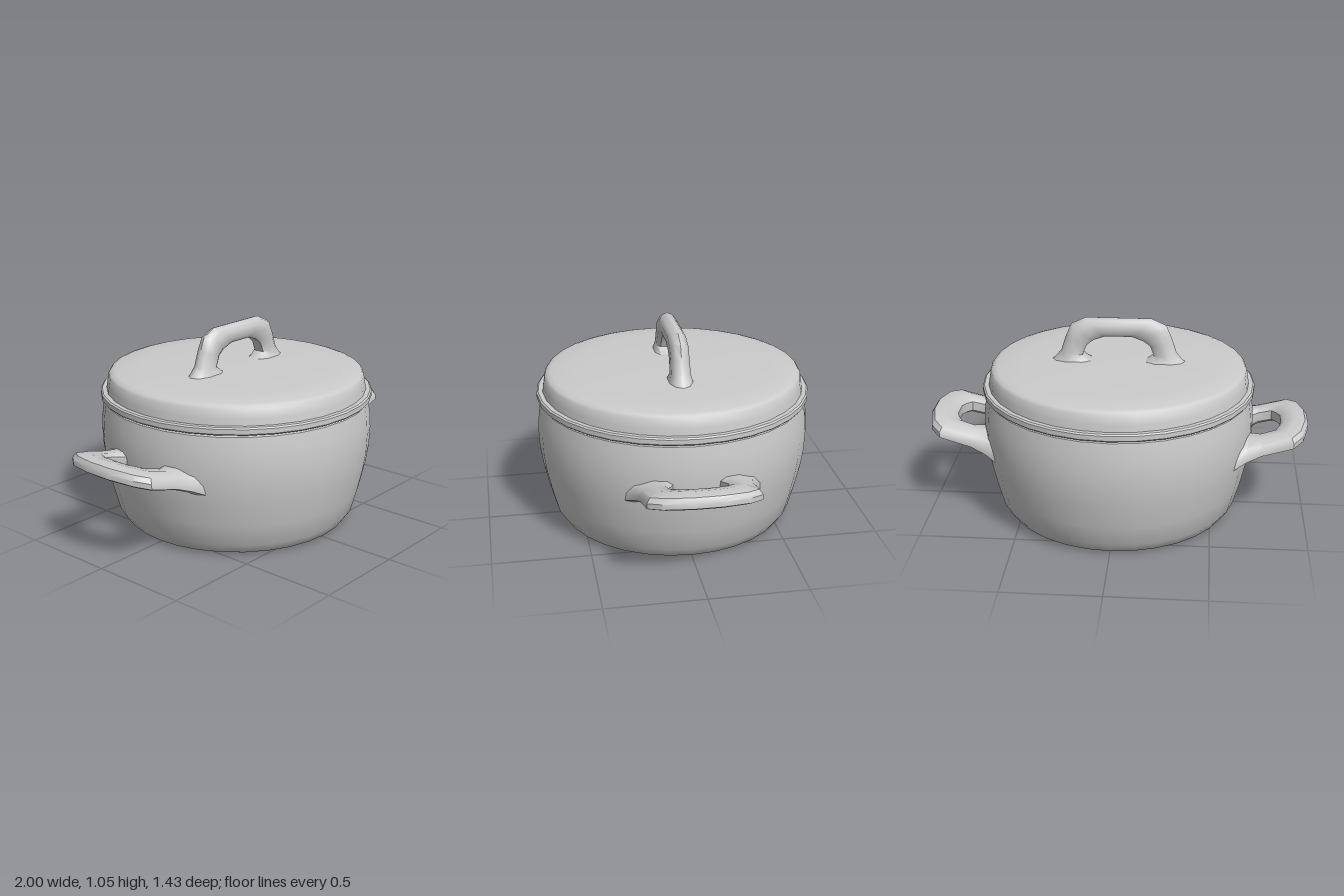
import * as THREE from 'three';
import { toCreasedNormals } from 'three/addons/utils/BufferGeometryUtils.js';

const material = new THREE.MeshStandardMaterial({ color: 0xcccccc });

function makeMesh(name, geometry, crease) {
  const mesh = new THREE.Mesh(toCreasedNormals(geometry, crease), material);
  mesh.name = name;
  return mesh;
}

function turned(name, points) {
  const profile = points.map(([r, y]) => new THREE.Vector2(r, y));
  return makeMesh(name, new THREE.LatheGeometry(profile, 32), 0.7);
}

// Skins a closed cross-section along an arch. Each station is
// [outerU, outerV, innerU, innerV, halfWidth]; each section point is
// [share of the way from inner to outer, share of the half width].
function loft(stations, section, place) {
  const positions = [], index = [], n = section.length;
  for (const [ou, ov, iu, iv, w] of stations) {
    for (const [t, h] of section) {
      positions.push(...place(iu + (ou - iu) * t, iv + (ov - iv) * t, h * w));
    }
  }
  for (let i = 0; i < stations.length - 1; i++) {
    for (let j = 0; j < n; j++) {
      const a = i * n + j, b = i * n + (j + 1) % n;
      index.push(a, b, a + n, b, b + n, a + n);
    }
  }
  const geometry = new THREE.BufferGeometry();
  geometry.setAttribute('position', new THREE.Float32BufferAttribute(positions, 3));
  geometry.setIndex(index);
  geometry.computeVertexNormals();
  return geometry;
}

export function createModel() {
  const pot = new THREE.Group();
  pot.name = 'cookingPot';

  // Bellied body with a hollow inside
  pot.add(turned('body', [
    [0, 0], [0.575, 0], [0.6, 0.012], [0.637, 0.065], [0.668, 0.18], [0.695, 0.3],
    [0.71, 0.4], [0.714, 0.5], [0.708, 0.58], [0.697, 0.655], [0.69, 0.66],
    [0.65, 0.66], [0.665, 0.5], [0.645, 0.3], [0.58, 0.06], [0, 0.05],
  ]));

  // Lid with a protruding rim
  pot.add(turned('lid', [
    [0, 0.77], [0.62, 0.75], [0.63, 0.655], [0.68, 0.655], [0.685, 0.668],
    [0.708, 0.668], [0.714, 0.675], [0.714, 0.7], [0.706, 0.707], [0.683, 0.707],
    [0.678, 0.74], [0.67, 0.785], [0.66, 0.798], [0.635, 0.806], [0.5, 0.813],
    [0.25, 0.818], [0, 0.82],
  ]));

  // Arched lid handle with flared feet
  const leftLeg = [
    [-0.37, 0.8, -0.11, 0.8, 0.065],
    [-0.335, 0.826, -0.16, 0.826, 0.058],
    [-0.302, 0.865, -0.187, 0.85, 0.05],
    [-0.278, 0.94, -0.165, 0.905, 0.048],
    [-0.247, 1.012, -0.13, 0.932, 0.048],
    [-0.17, 1.047, -0.07, 0.954, 0.047],
  ];
  const rightLeg = leftLeg.map(([a, b, c, d, w]) => [-a, b, -c, d, w]).reverse();
  const round = [
    [1, 0], [0.9, 0.6], [0.65, 1], [0.22, 1], [0, 0.6],
    [0, -0.6], [0.22, -1], [0.65, -1], [0.9, -0.6],
  ];
  pot.add(makeMesh('lidHandle',
    loft([...leftLeg, ...rightLeg], round, (u, v, w) => [u, v, w]), 0.8));

  // Pair of flat loop handles rising outward from the sides
  const backArm = [
    [0.6, -0.345, 0.6, -0.09, 0.07],
    [0.675, -0.305, 0.7, -0.115, 0.052],
    [0.75, -0.282, 0.75, -0.145, 0.042],
    [0.915, -0.275, 0.82, -0.135, 0.042],
    [0.967, -0.21, 0.845, -0.09, 0.042],
    [1, -0.07, 0.86, -0.05, 0.042],
  ];
  const frontArm = backArm.map(([a, b, c, d, w]) => [a, -b, c, -d, w]).reverse();
  const flat = [
    [1, -0.15], [0.88, 0.5], [0.5, 1], [0.15, 1], [0, 0.6],
    [0, -0.6], [0.12, -1], [0.85, -1], [1, -0.8],
  ];
  const tilt = (u, v, w) => [u, 0.495 + 0.28 * (u - 0.92) + w, v];
  for (const [name, turn] of [['leftHandle', 0], ['rightHandle', Math.PI]]) {
    const handle = makeMesh(name, loft([...backArm, ...frontArm], flat, tilt), 0.7);
    handle.rotation.y = turn;
    pot.add(handle);
  }
  return pot;
}
